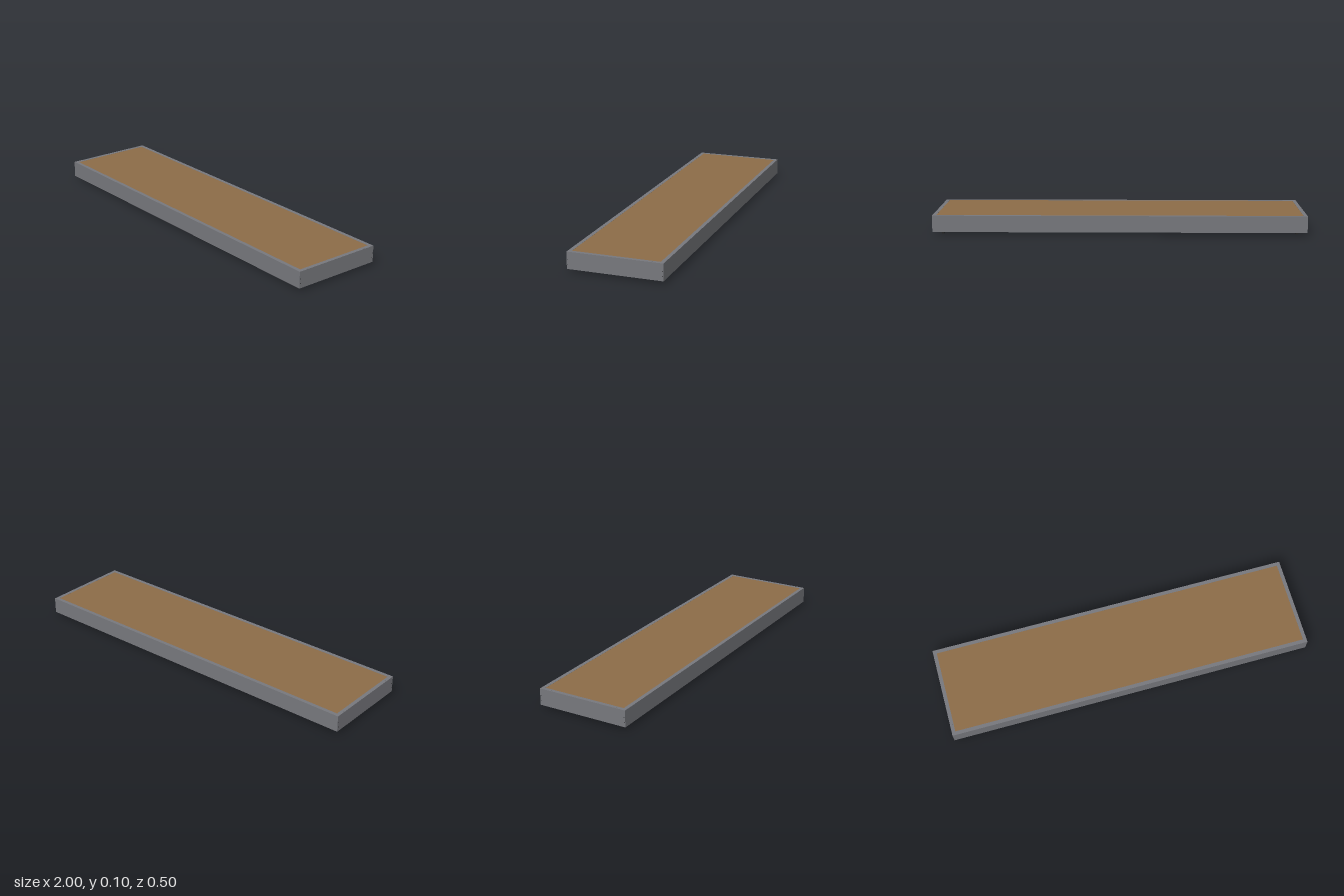
import * as THREE from 'three';

export function createModel() {
  const model = new THREE.Group();
  const mat = (name, color) => {
    const m = new THREE.MeshStandardMaterial({ color });
    m.name = name;
    return m;
  };
  const aluminium = mat('aluminium', 0x77787d);
  const plywood = mat('plywood', 0x8c6c48);
  const black = mat('black underside', 0x161616);
  const rubber = mat('dark steel', 0x242424);
  const steel = mat('bracket steel', 0x45464a);

  // Box given by its minimum and maximum corners
  const box = (parent, name, material, x0, x1, y0, y1, z0, z1) => {
    const mesh = new THREE.Mesh(new THREE.BoxGeometry(x1 - x0, y1 - y0, z1 - z0), material);
    mesh.position.set((x0 + x1) / 2, (y0 + y1) / 2, (z0 + z1) / 2);
    mesh.name = name;
    parent.add(mesh);
    return mesh;
  };

  // Hollow rail profile: outer wall, top rim, bottom lip and a small inner ledge
  const frame = new THREE.Group();
  frame.name = 'frame';
  model.add(frame);
  const railProfile = [[0, 0.015], [0.03, 0.015], [0.03, 0.02], [0.02, 0.02], [0.02, 0.045],
    [0.025, 0.045], [0.025, 0.05], [0.02, 0.05], [0.02, 0.104], [0, 0.104]];
  // Sweep the profile round the rectangle with mitred corners
  const pos = [];
  const corner = ([inset, y], c) => {
    const sx = [1, 1, -1, -1][c % 4], sz = [1, -1, -1, 1][c % 4];
    return [sx * (1 - inset), y, sz * (0.25 - inset)];
  };
  for (let c = 0; c < 4; c++) {
    railProfile.forEach((p, i) => {
      const q = railProfile[(i + 1) % railProfile.length];
      const a = corner(p, c), b = corner(p, c + 1), d = corner(q, c), e = corner(q, c + 1);
      pos.push(...a, ...d, ...b, ...b, ...d, ...e);
    });
  }
  const railGeometry = new THREE.BufferGeometry();
  railGeometry.setAttribute('position', new THREE.Float32BufferAttribute(pos, 3));
  railGeometry.computeVertexNormals();
  const railMaterial = aluminium;
  railMaterial.side = THREE.DoubleSide;
  const rails = new THREE.Mesh(railGeometry, railMaterial);
  rails.name = 'rails';
  frame.add(rails);

  // Deck board and its dark underside
  box(model, 'deck', plywood, -0.98, 0.98, 0.092, 0.1035, -0.23, 0.23);
  box(model, 'deckUnderside', black, -0.98, 0.98, 0.086, 0.092, -0.23, 0.23);

  // Cross bars under the deck
  for (const x of [-0.5, 0, 0.5]) {
    box(model, 'crossBar', aluminium, x - 0.011, x + 0.011, 0.045, 0.087, -0.23, 0.23);
  }

  // Leg fittings at the four corners
  for (const sx of [-1, 1]) {
    for (const sz of [-1, 1]) {
      const fitting = new THREE.Group();
      fitting.name = 'legFitting';
      model.add(fitting);
      const put = (name, material, x0, x1, y0, y1, z0, z1) =>
        box(fitting, name, material, Math.min(sx * x0, sx * x1), Math.max(sx * x0, sx * x1), y0, y1, z0, z1);

      // Clamp handle below the frame, the same way round at both ends
      const z = sz > 0 ? 0.11 : -0.22;
      put('clampPlate', rubber, 0.885, 0.945, 0.006, 0.015, z + 0.01, z + 0.065);
      put('clampHandle', rubber, 0.943, 0.953, 0, 0.016, z, z + 0.065);
      put('clampArm', steel, 0.9, 0.94, 0.006, 0.015, z + 0.065, z + 0.086);
      put('clampStem', rubber, 0.905, 0.93, 0.015, 0.086, z + 0.03, z + 0.055);

      // Corner gusset plate under the deck
      const zs = sz * 0.165;
      put('gussetPlate', rubber, 0.84, 0.975, 0.08, 0.086, zs - 0.06, zs + 0.06);

      // Diagonal brace across the corner
      const brace = new THREE.Mesh(new THREE.BoxGeometry(0.16, 0.03, 0.008), steel);
      brace.name = 'cornerBrace';
      brace.position.set(sx * 0.92, 0.055, sz * 0.17);
      brace.rotation.y = sx * sz * Math.PI / 4;
      fitting.add(brace);

      // Small rivet on the top rim
      const rivet = new THREE.Mesh(new THREE.CylinderGeometry(0.005, 0.005, 0.002, 16), aluminium);
      rivet.name = 'rimRivet';
      rivet.position.set(sx * 0.99, 0.104, sz * 0.19);
      fitting.add(rivet);

      // Bolts in the end rails
      for (const y of [0.04, 0.065]) {
        const bolt = new THREE.Mesh(new THREE.CylinderGeometry(0.002, 0.002, 0.001, 12), black);
        bolt.name = 'endBolt';
        bolt.rotation.z = Math.PI / 2;
        bolt.position.set(sx, y, sz * 0.244);
        fitting.add(bolt);
      }
    }
  }
  return model;
}
